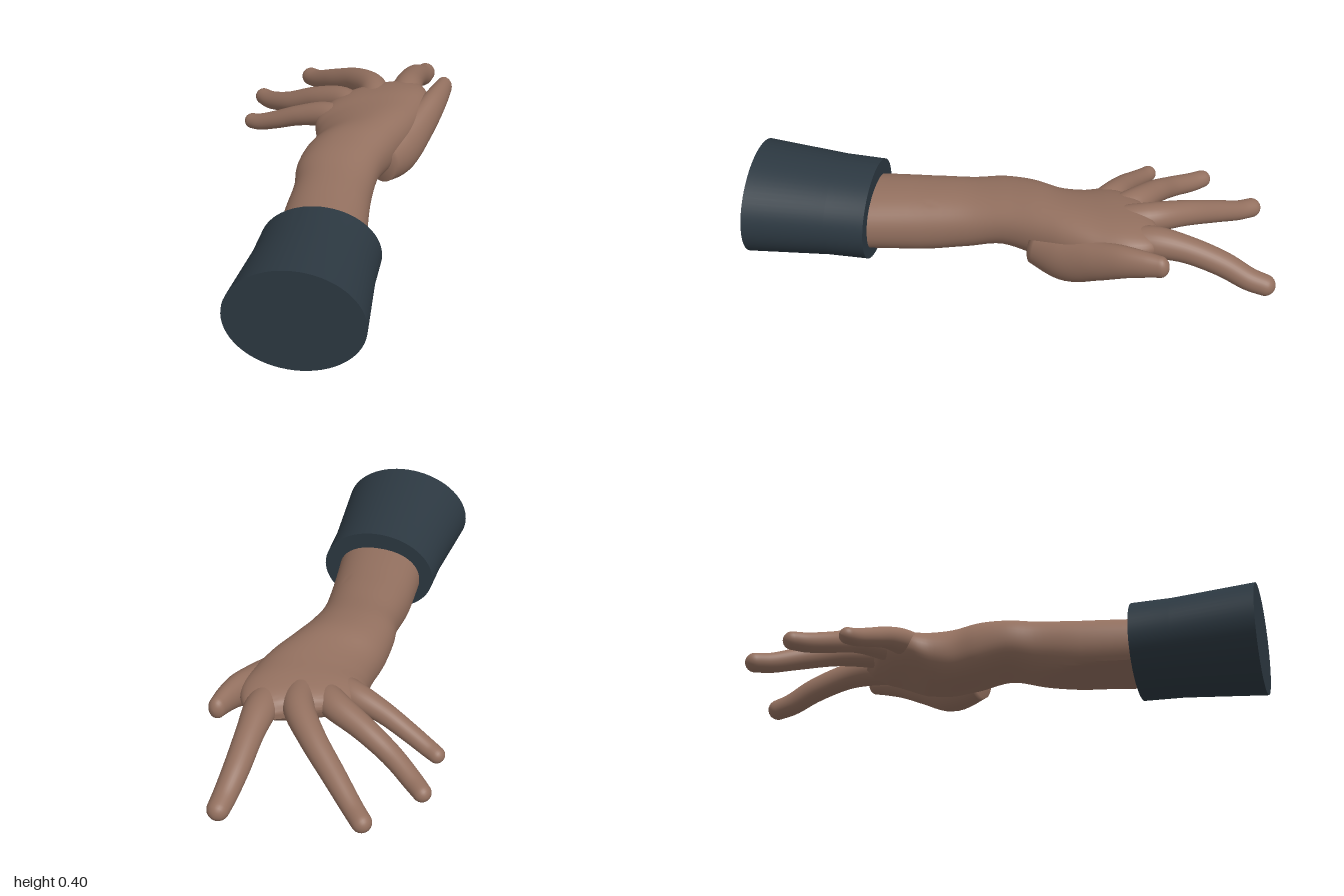
import * as THREE from 'three';
import { toCreasedNormals } from 'three/addons/utils/BufferGeometryUtils.js';

const V = (x, y, z) => new THREE.Vector3(x, y, z);
const SIDES = 32;

// Skins a list of equal-sized rings and closes both ends.
function loft(rings) {
  const n = rings[0].length, last = rings.length - 1, index = [];
  const centre = (ring) => ring.reduce((s, p) => s.add(p), V(0, 0, 0)).divideScalar(n);
  const points = [...rings.flat(), centre(rings[0]), centre(rings[last])];
  const start = points.length - 2, end = points.length - 1;
  for (let j = 0; j < n; j++) {
    const k = (j + 1) % n;
    for (let i = 0; i < last; i++) {
      const a = i * n, b = a + n;
      index.push(a + j, b + j, a + k, a + k, b + j, b + k);
    }
    index.push(start, j, k, end, last * n + k, last * n + j);
  }
  const geometry = new THREE.BufferGeometry().setFromPoints(points);
  geometry.setIndex(index);
  geometry.computeVertexNormals();
  return geometry;
}

// Forearm and palm: each row is left x,z, right x,z, top y, bottom y, tilt.
function armGeometry() {
  const rows = [
    [-0.315, 0.50, 0.005, 0.60, 0.305, 0.06, 0],
    [-0.245, 0.24, 0.055, 0.33, 0.32, 0.07, 0],
    [-0.19, 0.08, 0.095, 0.15, 0.335, 0.105, 0],
    [-0.17, -0.03, 0.145, 0.02, 0.355, 0.135, 0.01],
    [-0.13, -0.14, 0.225, -0.10, 0.37, 0.12, 0.02],
    [-0.088, -0.22, 0.30, -0.20, 0.37, 0.12, 0.03],
    [-0.062, -0.31, 0.365, -0.31, 0.37, 0.145, 0.03],
    [-0.055, -0.385, 0.40, -0.41, 0.37, 0.19, 0.03],
    [0.0, -0.455, 0.395, -0.49, 0.363, 0.225, 0.02],
    [0.055, -0.495, 0.36, -0.54, 0.345, 0.255, 0.01],
    [0.10, -0.515, 0.32, -0.56, 0.315, 0.285, 0],
  ];
  const left = new THREE.CatmullRomCurve3(rows.map((r) => V(r[0], 0, r[1])));
  const right = new THREE.CatmullRomCurve3(rows.map((r) => V(r[2], 0, r[3])));
  const height = new THREE.CatmullRomCurve3(rows.map((r) => V(r[4], r[5], r[6])));
  const rings = [];
  for (let i = 0; i <= 50; i++) {
    const t = i / 50, l = left.getPoint(t), r = right.getPoint(t), h = height.getPoint(t);
    const ring = [];
    for (let j = 0; j < 48; j++) {
      const a = (j / 48) * Math.PI * 2, c = Math.cos(a), s = Math.sin(a);
      const across = Math.sign(c) * Math.abs(c) ** 0.9, up = Math.sign(s) * Math.abs(s) ** 0.9;
      const p = l.clone().lerp(r, (1 + across) / 2);
      // the underside of the forearm is cut flat
      p.y = Math.max(0.108, (h.x + h.y) / 2 + up * (h.x - h.y) / 2 + across * h.z);
      ring.push(p);
    }
    rings.push(ring);
  }
  return toCreasedNormals(loft(rings), 0.6);
}

// Tapered finger with a round tip: each row is x, y, z, radius.
function fingerGeometry(rows, tall = 1) {
  const path = new THREE.CatmullRomCurve3(rows.map((r) => V(r[0], r[1], r[2])));
  const radius = new THREE.CatmullRomCurve3(rows.map((r, i) => V(i, r[3], 0)));
  const rings = [];
  const addRing = (centre, tangent, r) => {
    const side = tangent.clone().cross(V(0, 1, 0)).normalize();
    const up = side.clone().cross(tangent);
    rings.push(Array.from({ length: SIDES }, (_, j) => {
      const a = (j / SIDES) * Math.PI * 2;
      return centre.clone().addScaledVector(side, r * Math.cos(a)).addScaledVector(up, r * tall * Math.sin(a));
    }));
  };
  for (let i = 0; i <= 32; i++) {
    addRing(path.getPoint(i / 32), path.getTangent(i / 32), radius.getPoint(i / 32).y);
  }
  const tip = path.getPoint(1), direction = path.getTangent(1), r = rows[rows.length - 1][3];
  for (let k = 1; k <= 7; k++) {
    const a = (k / 7.2) * Math.PI / 2;
    addRing(tip.clone().addScaledVector(direction, r * Math.sin(a)), direction, r * Math.cos(a));
  }
  return loft(rings);
}

export function createModel() {
  const model = new THREE.Group();
  const skin = new THREE.MeshStandardMaterial({ color: 0x93705f });
  const cloth = new THREE.MeshStandardMaterial({ color: 0x2c3841 });
  skin.name = 'skin';
  cloth.name = 'sleeve cloth';
  const add = (name, geometry, material) => {
    const mesh = new THREE.Mesh(geometry, material);
    mesh.name = name;
    model.add(mesh);
    return mesh;
  };

  // Sleeve: closed oval cuff, slightly wider at the elbow end
  const profile = [[0, -0.2325], [0.252, -0.2325], [0.225, 0.08], [0.222, 0.2325], [0, 0.2325]];
  const sleeve = new THREE.LatheGeometry(profile.map(([x, y]) => new THREE.Vector2(x, y)), 64);
  sleeve.scale(1, 1, 0.792).rotateX(-Math.PI / 2).rotateY(-0.31);
  add('sleeve', toCreasedNormals(sleeve, 0.6), cloth).position.set(-0.2045, 0.2, 0.6935);

  add('forearmAndPalm', armGeometry(), skin);

  // Fingers, from knuckle to tip
  add('indexFinger', fingerGeometry([
    [0.29, 0.295, -0.40, 0.06], [0.33, 0.31, -0.52, 0.06], [0.365, 0.295, -0.63, 0.051],
    [0.41, 0.25, -0.76, 0.047], [0.45, 0.205, -0.85, 0.043], [0.473, 0.19, -0.905, 0.04],
  ]), skin);
  add('middleFinger', fingerGeometry([
    [0.18, 0.30, -0.38, 0.06], [0.195, 0.32, -0.52, 0.057], [0.15, 0.295, -0.66, 0.049],
    [0.075, 0.235, -0.80, 0.043], [0.015, 0.185, -0.91, 0.038], [-0.012, 0.172, -0.965, 0.037],
  ]), skin);
  add('ringFinger', fingerGeometry([
    [0.11, 0.28, -0.38, 0.055], [0.07, 0.295, -0.48, 0.055], [-0.03, 0.265, -0.58, 0.046],
    [-0.13, 0.21, -0.67, 0.04], [-0.20, 0.172, -0.765, 0.037], [-0.227, 0.165, -0.815, 0.034],
  ]), skin);
  add('littleFinger', fingerGeometry([
    [0.06, 0.27, -0.34, 0.055], [-0.01, 0.275, -0.41, 0.051], [-0.11, 0.245, -0.475, 0.041],
    [-0.20, 0.20, -0.535, 0.036], [-0.265, 0.168, -0.585, 0.033], [-0.292, 0.16, -0.612, 0.031],
  ]), skin);

  // Thumb, rising from the thick pad beside the wrist
  add('thumb', fingerGeometry([
    [0.17, 0.21, -0.10, 0.06], [0.25, 0.21, -0.20, 0.075], [0.34, 0.255, -0.30, 0.062],
    [0.41, 0.295, -0.39, 0.05], [0.45, 0.31, -0.455, 0.041], [0.48, 0.317, -0.512, 0.033],
  ], 1.3), skin);

  return model;
}
